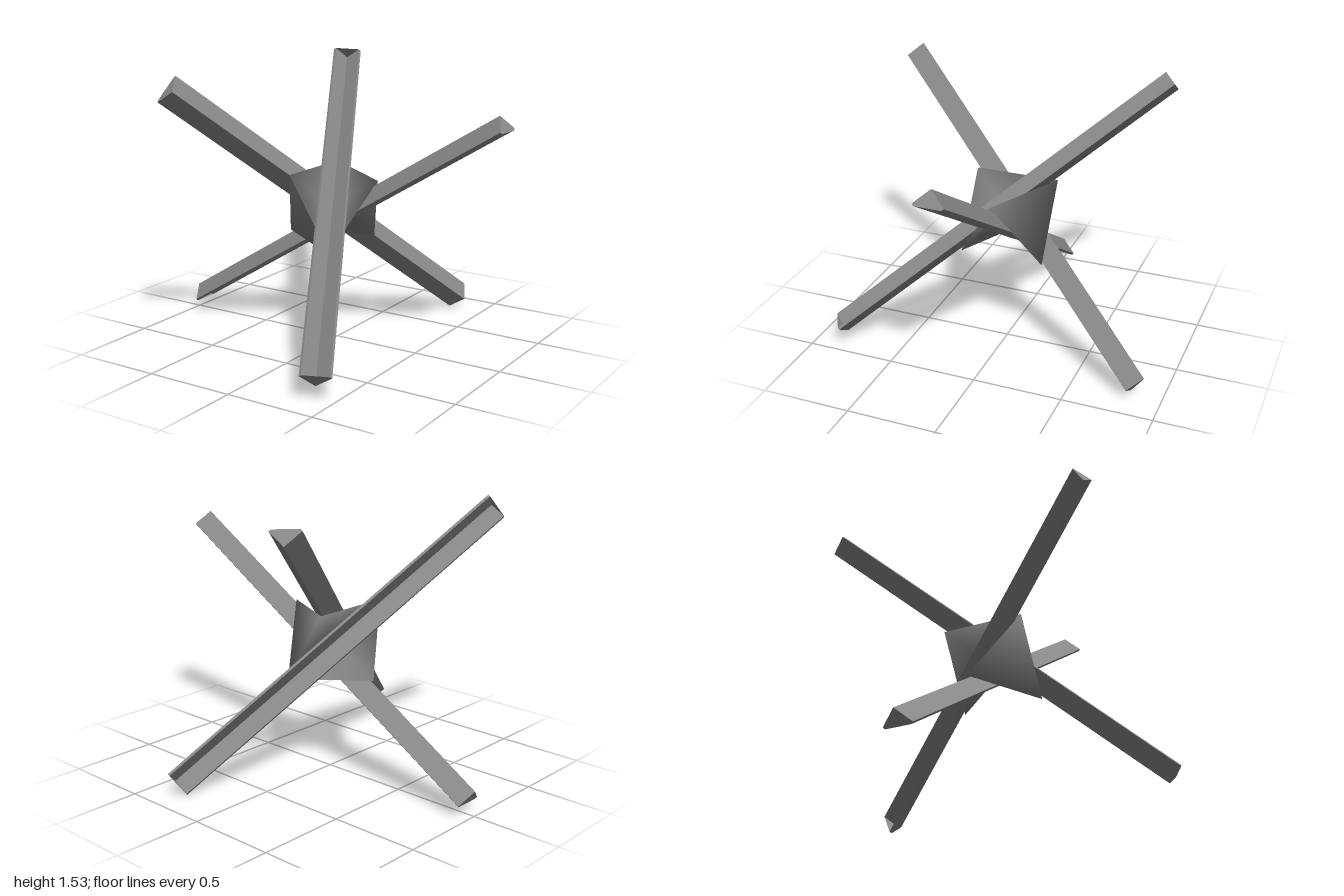
import * as THREE from 'three';
import { mergeGeometries } from 'three/addons/utils/BufferGeometryUtils.js';

const material = new THREE.MeshStandardMaterial({ color: 0x8a8a8a, side: THREE.DoubleSide });

// Three mutually perpendicular beam axes and the point where they cross
const S = Math.SQRT1_2;
const a = new THREE.Vector3(0.852, 0.523, 0).normalize();
const n = new THREE.Vector3(-a.y, a.x, 0);
const z = new THREE.Vector3(0, 0, 1);
const b = z.clone().sub(n).multiplyScalar(S);
const c = z.clone().add(n).multiplyScalar(S);
const center = new THREE.Vector3(-0.03, 0.752, 0);
const neg = (v) => v.clone().negate();

const FLANGE = 0.115; // width of each flange
const THICK = 0.015;  // thickness of each flange
const HALF = 1.147;   // half the beam length
const GAP = 0.01;     // distance of a beam's corner from the centre planes
const REACH = 0.335;  // gusset tips along the beams

const shape = (points) => new THREE.Shape(points.map((p) => new THREE.Vector2(...p)));

// Angle beam along local z: an L profile with a thin web closing each end
function beamGeometry() {
  const angle = shape([[0, 0], [FLANGE, 0], [FLANGE, THICK], [THICK, THICK], [THICK, FLANGE], [0, FLANGE]]);
  const bar = new THREE.ExtrudeGeometry(angle, { depth: 2 * HALF, bevelEnabled: false });
  bar.translate(0, 0, -HALF);

  const web = shape([[THICK, THICK], [FLANGE, THICK], [THICK, FLANGE]]);
  const top = new THREE.ShapeGeometry(web).toNonIndexed().translate(0, 0, HALF);
  const halfTurn = new THREE.Matrix4().makeRotationAxis(new THREE.Vector3(S, S, 0), Math.PI);
  const bottom = top.clone().applyMatrix4(halfTurn);

  return mergeGeometries([bar, top, bottom]).translate(GAP, GAP, 0);
}

// Two solid corners between the beams' backs, joined by three thin webs
function gussetGeometry() {
  const tips = [a, b, c, neg(a), neg(b), neg(c)].map((v) => v.clone().multiplyScalar(REACH).toArray());
  const [A, B, C, nA, nB, nC, O] = [0, 1, 2, 3, 4, 5, 6];
  const corner = (p, q, r) => [[p, q, r], [O, q, p], [O, r, q], [O, p, r]];
  const faces = [
    ...corner(nA, B, C),
    ...corner(A, nC, nB),
    [O, A, B], [O, C, nB], [O, nA, nC],
  ];
  const g = new THREE.BufferGeometry();
  g.setAttribute('position', new THREE.Float32BufferAttribute([...tips, [0, 0, 0]].flat(), 3));
  g.setIndex(faces.flat());
  g.computeVertexNormals();
  return g;
}

export function createModel() {
  const model = new THREE.Group();
  model.name = 'crossedBeamObstacle';

  // Beams: the two flange directions, then the beam axis
  const geometry = beamGeometry();
  const beams = {
    sideBeam: [b, neg(c), a],
    frontLowBeam: [a, c, b],
    frontHighBeam: [neg(a), neg(b), neg(c)],
  };
  for (const [name, axes] of Object.entries(beams)) {
    const beam = new THREE.Mesh(geometry, material);
    beam.name = name;
    beam.quaternion.setFromRotationMatrix(new THREE.Matrix4().makeBasis(...axes));
    beam.position.copy(center);
    model.add(beam);
  }

  // Central gusset
  const gusset = new THREE.Mesh(gussetGeometry(), material);
  gusset.name = 'centerGusset';
  gusset.position.copy(center);
  model.add(gusset);

  return model;
}
